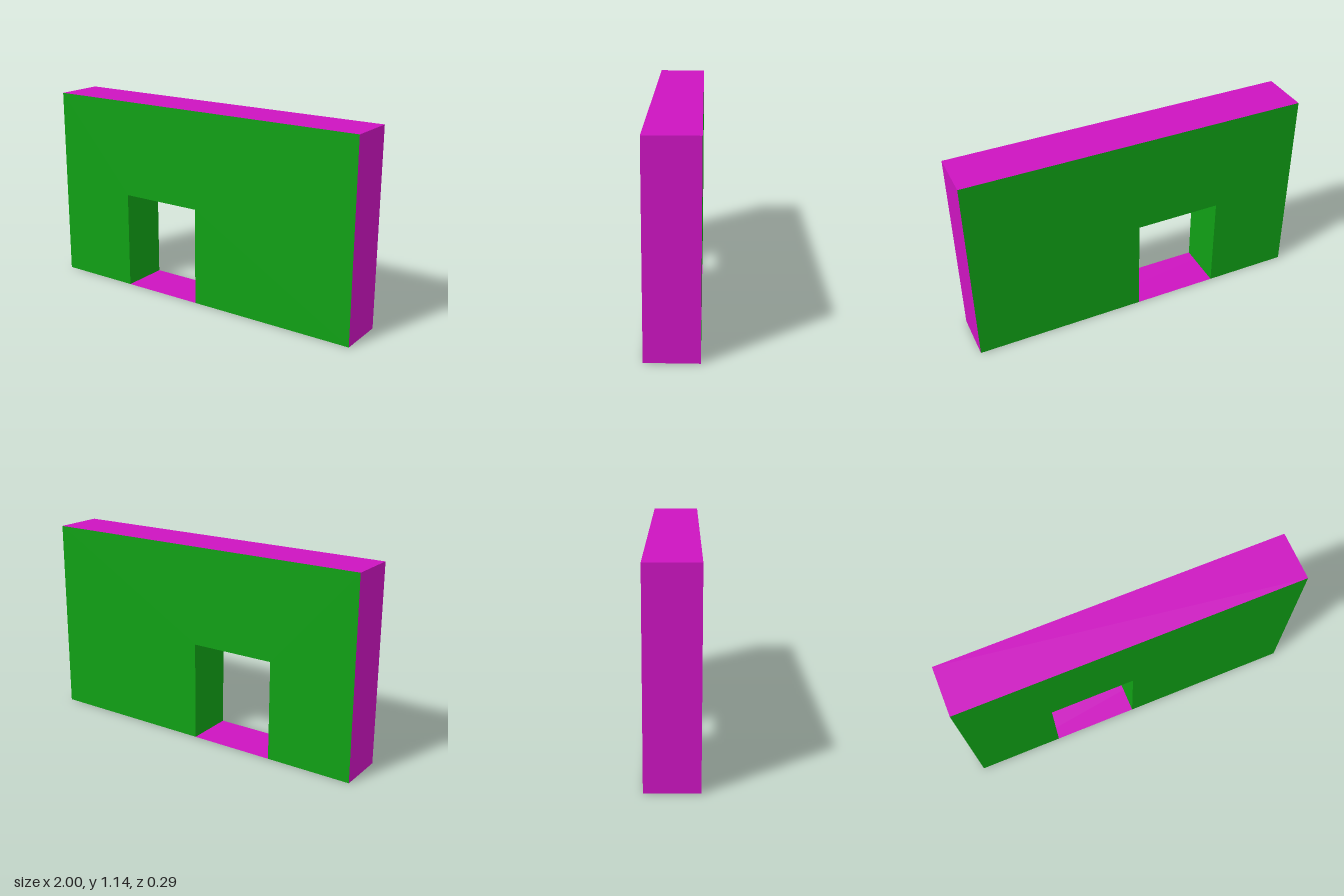
import * as THREE from 'three';

const W = 1, H = 1.143, D = 0.143;              // half width, height, half depth
const DOOR = { x0: -0.5, x1: 0, top: 0.575 };

// Flat band through the wall's depth along a counter-clockwise outline path
function band(path, material, name) {
  const pos = [];
  for (let i = 0; i < path.length - 1; i++) {
    const [ax, ay] = path[i], [bx, by] = path[i + 1];
    pos.push(ax, ay, D, ax, ay, -D, bx, by, -D, ax, ay, D, bx, by, -D, bx, by, D);
  }
  const geometry = new THREE.BufferGeometry();
  geometry.setAttribute('position', new THREE.Float32BufferAttribute(pos, 3));
  geometry.computeVertexNormals();
  const mesh = new THREE.Mesh(geometry, material);
  mesh.name = name;
  return mesh;
}

export function createModel() {
  const group = new THREE.Group();
  group.name = 'doorwayWall';
  const green = new THREE.MeshStandardMaterial({ color: 0x10a015 });
  const magenta = new THREE.MeshStandardMaterial({ color: 0xcc14c0, side: THREE.DoubleSide });

  const doorPath = [[DOOR.x0, 0], [DOOR.x0, DOOR.top], [DOOR.x1, DOOR.top], [DOOR.x1, 0]];
  const outline = [[-W, 0], ...doorPath, [W, 0], [W, H], [-W, H]];
  const faceShape = new THREE.Shape(outline.map(([x, y]) => new THREE.Vector2(x, y)));

  // Front and back wall faces; the back one is turned outward and its outline mirrored back
  const front = new THREE.Mesh(new THREE.ShapeGeometry(faceShape), green);
  front.name = 'frontFace';
  front.position.z = D;
  const mirrored = new THREE.Shape(outline.map(([x, y]) => new THREE.Vector2(-x, y)));
  const back = new THREE.Mesh(new THREE.ShapeGeometry(mirrored), green);
  back.name = 'backFace';
  back.rotation.y = Math.PI;
  back.position.z = -D;
  group.add(front, back);

  // Jambs and lintel of the doorway
  group.add(band(doorPath, green, 'doorLining'));

  // Top, ends and continuous base, which also forms the threshold
  group.add(band([[-W, 0], [W, 0], [W, H], [-W, H], [-W, 0]], magenta, 'outerEdges'));
  return group;
}
